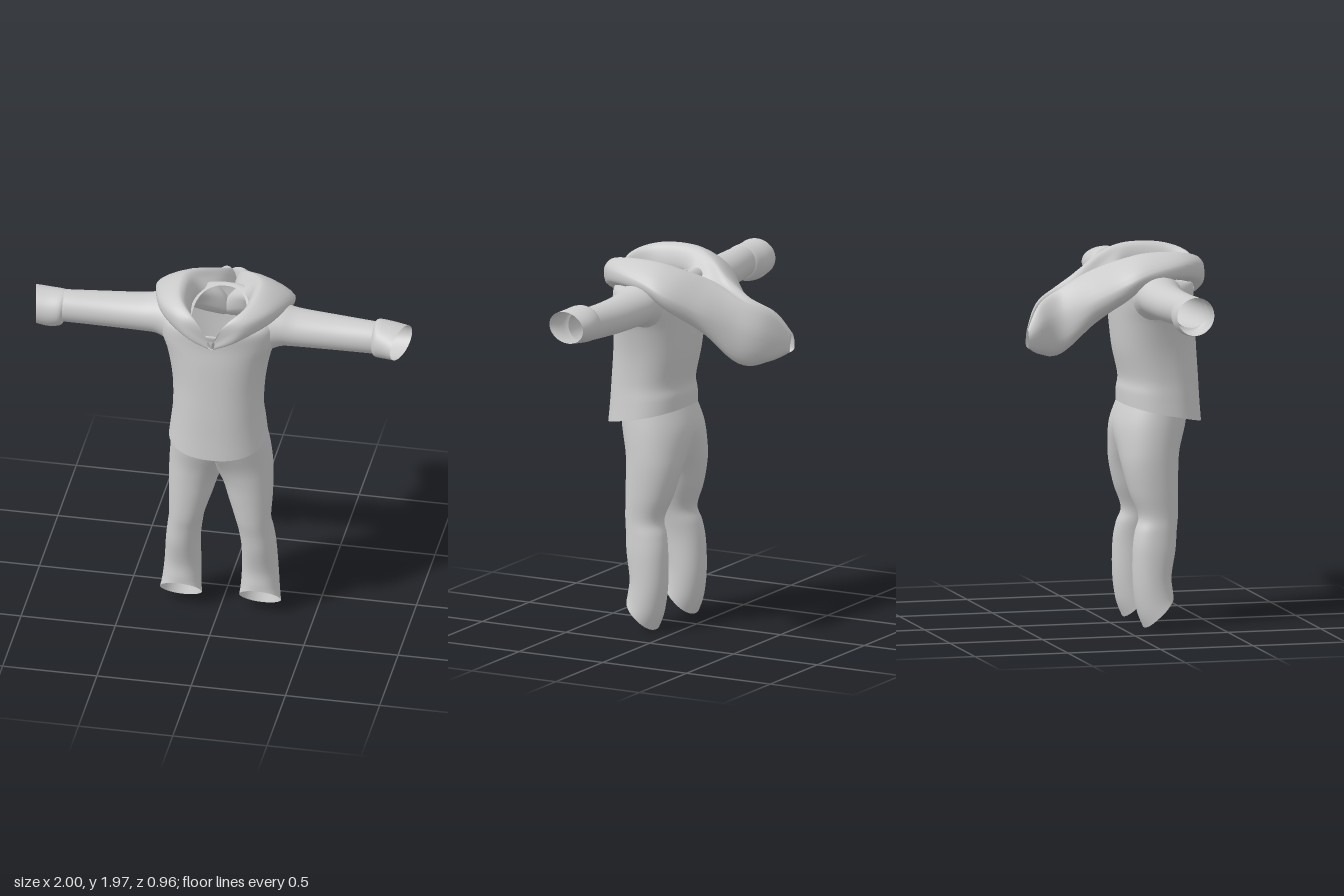
import * as THREE from 'three';

const cloth = new THREE.MeshStandardMaterial({ color: 0xcccccc, side: THREE.DoubleSide });

// Smoothly resample rows of numbers, n steps between neighbouring rows
function resample(rows, n) {
  const out = [], last = rows.length - 1;
  for (let i = 0; i < last; i++) {
    const [a, b, c, d] = [i - 1, i, i + 1, i + 2].map(k => rows[Math.min(last, Math.max(0, k))]);
    for (let s = 0; s < n; s++) {
      const t = s / n, t2 = t * t, t3 = t2 * t;
      out.push(b.map((_, k) => 0.5 * (2 * b[k] + (c[k] - a[k]) * t
        + (2 * a[k] - 5 * b[k] + 4 * c[k] - d[k]) * t2 + (3 * b[k] - a[k] - 3 * c[k] + d[k]) * t3)));
    }
  }
  out.push(rows[last]);
  return out;
}

// Skin closed rings of points; skip(centre) leaves openings
function loft(name, rings, skip = () => false) {
  const m = rings[0].length, index = [];
  const points = rings.flat();
  for (let i = 0; i < rings.length - 1; i++) {
    for (let j = 0; j < m; j++) {
      const k = (j + 1) % m;
      const [a, b, c, d] = [i * m + j, (i + 1) * m + j, i * m + k, (i + 1) * m + k];
      const centre = new THREE.Vector3();
      for (const v of [a, b, c, d]) centre.addScaledVector(points[v], 0.25);
      if (!skip(centre)) index.push(a, b, c, c, b, d);
    }
  }
  const geometry = new THREE.BufferGeometry().setFromPoints(points);
  geometry.setIndex(index);
  geometry.computeVertexNormals();
  const mesh = new THREE.Mesh(geometry, cloth);
  mesh.name = name;
  return mesh;
}

const power = (v, e) => Math.sign(v) * Math.abs(v) ** e;
const SIDES = 48;
const angles = Array.from({ length: SIDES }, (_, j) => j / SIDES * Math.PI * 2);

// Upright ring: [height, centre x, half width, front z, back z, rise towards the front]
function uprightRing([y, cx, rx, zf, zb, tilt], roundness, minX = -9) {
  return angles.map(a => new THREE.Vector3(
    Math.max(minX, cx + rx * power(Math.cos(a), roundness)),
    y + tilt * Math.sin(a),
    (zf + zb) / 2 + (zf - zb) / 2 * power(Math.sin(a), roundness)));
}

// Sleeve ring: [x, centre y, half height, centre z, half depth, x slant towards the front]
function sleeveRing([x, y, ry, z, rz, slant]) {
  return angles.map(a => new THREE.Vector3(
    x - slant * Math.sin(a), y + ry * Math.cos(a), z - rz * Math.sin(a)));
}

function torso() {
  const rows = [
    [1.11, 0, 0.257, 0.475, 0.045, -0.05],
    [1.20, 0, 0.246, 0.467, 0.045, -0.03],
    [1.30, 0, 0.236, 0.46, 0.052, 0],
    [1.45, 0, 0.242, 0.45, 0.02, 0],
    [1.60, 0, 0.27, 0.44, 0.005, 0],
    [1.70, 0, 0.305, 0.43, 0, 0],
    [1.78, 0, 0.305, 0.43, -0.005, -0.01],
    [1.825, 0, 0.27, 0.43, 0, -0.03],
    [1.835, 0, 0.2, 0.435, 0.03, -0.05],
    [1.82, 0, 0.14, 0.43, 0.06, -0.06],
  ];
  const armhole = p => Math.abs(p.x) > 0.2
    && ((p.y - 1.745) / 0.085) ** 2 + ((p.z - 0.19) / 0.1) ** 2 < 1;
  return loft('jacketBody', resample(rows, 6).map(r => uprightRing(r, 0.88)), armhole);
}

function leg() {
  const rows = [
    [0.08, 0.21, 0.11, 0.28, 0.125, 0.08],
    [0.14, 0.208, 0.102, 0.278, 0.09, 0.05],
    [0.25, 0.205, 0.095, 0.272, 0.07, 0.02],
    [0.40, 0.2, 0.09, 0.295, 0.07, 0],
    [0.50, 0.188, 0.09, 0.305, 0.085, 0],
    [0.58, 0.175, 0.093, 0.315, 0.108, 0],
    [0.70, 0.158, 0.115, 0.32, 0.065, 0],
    [0.82, 0.138, 0.136, 0.325, 0.035, 0],
    [0.92, 0.1, 0.17, 0.34, 0.02, 0],
    [1.06, 0.02, 0.235, 0.39, 0.012, 0],
    [1.20, 0, 0.23, 0.41, 0.06, 0],
  ];
  // Upper rings are cut flat where the two legs join
  return loft('trouserLeg', resample(rows, 5).map(r => uprightRing(r, 0.95, 0)), p => p.x < 0.0001);
}

const sleeveRows = [
  [0.265, 1.74, 0.122, 0.185, 0.135, 0],
  [0.33, 1.752, 0.106, 0.177, 0.122, 0],
  [0.42, 1.745, 0.096, 0.175, 0.112, 0],
  [0.60, 1.742, 0.09, 0.18, 0.1, 0],
  [0.80, 1.745, 0.085, 0.196, 0.087, 0],
  [0.86, 1.745, 0.083, 0.2, 0.084, 0],
];
const leftCuffRows = [
  [0.815, 1.745, 0.083, 0.2, 0.085, 0],
  [0.835, 1.755, 0.098, 0.212, 0.105, 0],
  [0.90, 1.755, 0.092, 0.222, 0.118, -0.01],
  [0.965, 1.755, 0.083, 0.238, 0.12, -0.035],
];
const rightCuffRows = [
  [0.825, 1.745, 0.083, 0.2, 0.086, 0],
  [0.845, 1.735, 0.096, 0.2, 0.1, 0],
  [0.91, 1.73, 0.102, 0.196, 0.107, -0.008],
  [0.98, 1.738, 0.1, 0.197, 0.105, -0.02],
];

// Half of the hood, from the front of the neck round the shoulder to the hanging tail.
// Row: z, z shift of the inner points, then x,y of: inner, rim, crest, outer, low, base
const hoodRows = [
  [0.468, -0.02, 0, 1.73, 0.005, 1.77, 0.015, 1.785, 0.02, 1.775, 0.012, 1.74, 0, 1.725],
  [0.462, -0.04, 0.09, 1.79, 0.06, 1.86, 0.09, 1.905, 0.16, 1.885, 0.14, 1.80, 0.1, 1.77],
  [0.34, -0.02, 0.14, 1.82, 0.155, 1.93, 0.195, 1.962, 0.285, 1.915, 0.28, 1.845, 0.2, 1.82],
  [0.14, 0, 0.14, 1.84, 0.17, 1.945, 0.215, 1.968, 0.35, 1.885, 0.345, 1.835, 0.25, 1.81],
  [0.0, 0.03, 0.01, 1.80, 0.10, 1.88, 0.16, 1.93, 0.355, 1.83, 0.32, 1.74, 0, 1.70],
  [-0.14, 0.05, 0, 1.66, 0.025, 1.82, 0.07, 1.86, 0.245, 1.74, 0.2, 1.62, 0, 1.59],
  [-0.28, 0, 0, 1.53, 0.015, 1.745, 0.045, 1.775, 0.125, 1.65, 0.11, 1.47, 0, 1.43],
  [-0.41, 0.01, 0, 1.50, 0.012, 1.68, 0.03, 1.70, 0.09, 1.6, 0.07, 1.47, 0, 1.44],
  [-0.485, 0.01, 0, 1.51, 0.005, 1.57, 0.01, 1.58, 0.03, 1.54, 0.025, 1.49, 0, 1.48],
];

function hoodHalf(name, side) {
  const rings = resample(hoodRows, 7).reverse().map(([z, inset, ...xy]) => {
    const drift = -0.15 * (Math.max(0, -0.25 - z) / 0.24) ** 2; // tail swings to one side
    const points = [];
    for (let k = 0; k < 6; k++) {
      const pz = z + (k === 0 || k === 5 ? inset : 0);
      points.push(new THREE.Vector3(side * xy[k * 2] + drift, xy[k * 2 + 1], pz));
    }
    const ring = new THREE.CatmullRomCurve3(points, true).getPoints(30).slice(0, -1);
    return side > 0 ? ring : ring.reverse();
  });
  return loft(name, rings);
}

export function createModel() {
  const model = new THREE.Group();
  model.name = 'hoodedOutfit';
  model.add(torso());

  for (const side of [1, -1]) {
    const label = side > 0 ? 'left' : 'right';
    const limbs = new THREE.Group();
    limbs.name = label + 'Limbs';
    const cuffRows = side > 0 ? leftCuffRows : rightCuffRows;
    limbs.add(
      leg(),
      loft('sleeve', resample(sleeveRows, 6).map(sleeveRing)),
      loft('cuff', resample(cuffRows, 4).map(sleeveRing)),
    );
    limbs.scale.x = side;
    model.add(limbs, hoodHalf(label + 'Hood', side));
  }
  return model;
}
